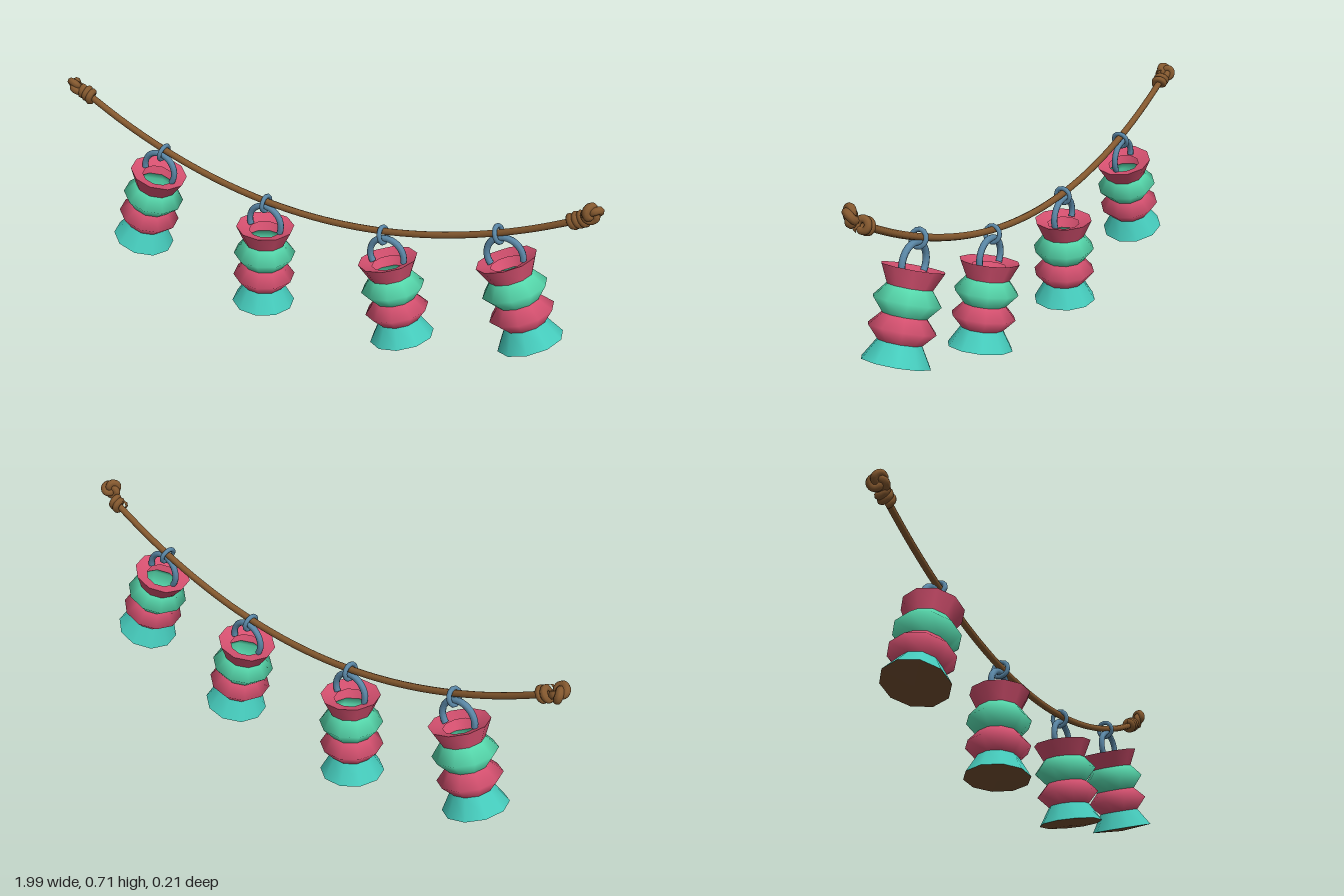
import * as THREE from 'three';

const mat = (name, color, side = THREE.FrontSide) => {
  const m = new THREE.MeshStandardMaterial({ color, side });
  m.name = name;
  return m;
};

export function createModel() {
  const root = new THREE.Group();
  root.name = 'lanternGarland';
  const rope = mat('ropeBrown', 0x85592f);
  const base = mat('baseBrown', 0x755032, THREE.DoubleSide);
  const pink = mat('pinkPaper', 0xd4506f, THREE.DoubleSide);
  const mint = mat('mintPaper', 0x56d8ac, THREE.DoubleSide);
  const teal = mat('tealPaper', 0x45cabb, THREE.DoubleSide);
  const steel = mat('blueSteel', 0x5a87a6);

  const add = (parent, name, geo, material) => {
    const m = new THREE.Mesh(geo, material);
    m.name = name;
    parent.add(m);
    return m;
  };
  // ten-sided band, profile given as [radius, height] from bottom to top
  const band = (pts) => new THREE.LatheGeometry(
    pts.map(([r, y]) => new THREE.Vector2(r, y)), 10, Math.PI / 2);

  // sagging rope
  const sag = (x) => 0.402 + 0.285 * x * x;
  const ropePts = [];
  for (let i = 0; i <= 12; i++) {
    const x = -0.93 + 1.86 * i / 12;
    ropePts.push(new THREE.Vector3(x, sag(x), 0));
  }
  add(root, 'rope', new THREE.TubeGeometry(new THREE.CatmullRomCurve3(ropePts), 48, 0.0115, 8), rope);

  // knots: a coil wrapped round the rope, then a bunched end
  for (const s of [-1, 1]) {
    const knot = new THREE.Group();
    knot.name = s > 0 ? 'leftKnot' : 'rightKnot';
    const coil = new THREE.Group();
    const coilPts = [];
    for (let i = 0; i <= 30; i++) {
      const a = i / 30 * Math.PI * 5;
      coilPts.push(new THREE.Vector3(i / 30 * 0.045, 0.017 * Math.cos(a), 0.017 * Math.sin(a)));
    }
    add(coil, 'knotCoil', new THREE.TubeGeometry(new THREE.CatmullRomCurve3(coilPts), 50, 0.012, 7), rope);
    coil.position.set(s * 0.9, 0.635, 0);
    coil.rotation.z = s > 0 ? 0.48 : Math.PI - 0.48;
    knot.add(coil);
    const end = add(knot, 'knotEnd', new THREE.TorusKnotGeometry(0.017, 0.013, 64, 8, 2, 3), rope);
    end.position.set(s * 0.964, s > 0 ? 0.685 : 0.667, s > 0 ? 0.015 : 0.005);
    end.rotation.set(s > 0 ? 0.3 : 0.9, s * 0.7, 0);
    root.add(knot);
  }

  // lanterns: [top x, top y, tilt, length]
  const lanterns = [
    [-0.627, 0.408, -0.29, 0.295],
    [-0.187, 0.315, -0.045, 0.3],
    [0.286, 0.322, 0.22, 0.284],
    [0.7, 0.443, 0.36, 0.288],
  ];
  lanterns.forEach(([x, y, tilt, len], i) => {
    const lantern = new THREE.Group();
    lantern.name = 'lantern' + (i + 1);
    lantern.position.set(x, y, 0);
    lantern.rotation.z = tilt;
    root.add(lantern);

    const L = (f) => -f * len;
    add(lantern, 'lid', band([[0.1, 0], [0.055, -0.014]]), pink);
    add(lantern, 'topBand', band([[0.072, L(0.2)], [0.1, 0]]), pink);
    add(lantern, 'upperBand', band([[0.07, L(0.5)], [0.107, L(0.35)], [0.072, L(0.2)]]), mint);
    add(lantern, 'lowerBand', band([[0.07, L(0.78)], [0.107, L(0.64)], [0.07, L(0.5)]]), pink);
    add(lantern, 'skirt', band([[0.109, L(1)], [0.07, L(0.78)]]), teal);
    add(lantern, 'base', band([[0, L(1) - 0.009], [0.109, L(1)]]), base);

    // arched handle and the link that hangs it from the rope
    const handle = add(lantern, 'handle', new THREE.TorusGeometry(0.062, 0.011, 8, 18, Math.PI * 1.25), steel);
    handle.position.y = 0.014;
    handle.rotation.z = -Math.PI * 0.125;
    const link = add(lantern, 'ropeLink', new THREE.TorusGeometry(0.027, 0.008, 8, 12), steel);
    link.position.y = 0.088;
    link.rotation.y = Math.PI / 2;
  });
  return root;
}
